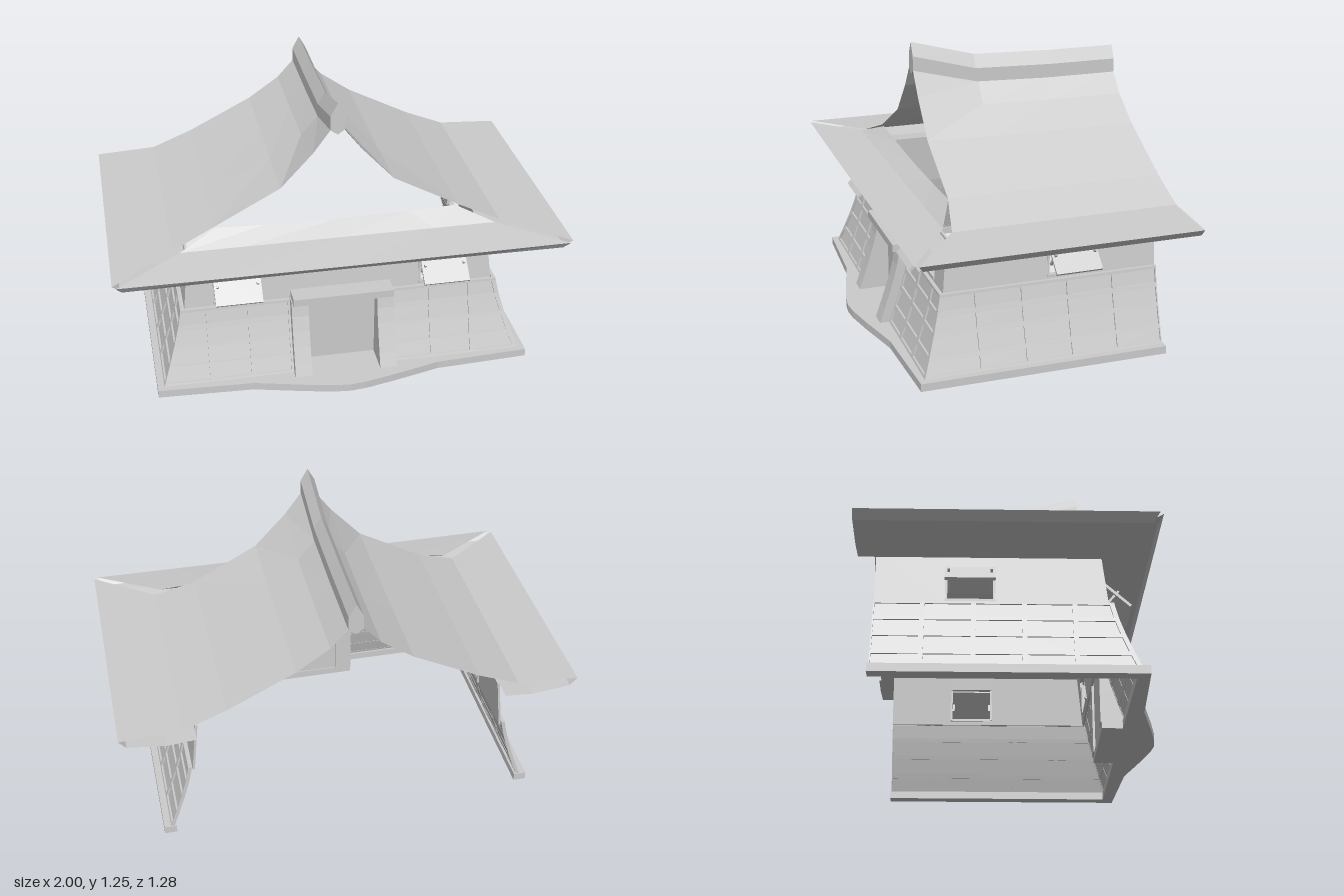
import * as THREE from 'three';
import { mergeGeometries } from 'three/addons/utils/BufferGeometryUtils.js';

const lerp = THREE.MathUtils.lerp;
const plaster = new THREE.MeshStandardMaterial({ color: 0xcccccc, flatShading: true, side: THREE.DoubleSide });
plaster.name = 'plainGrey';

function part(name, geometry, parent) {
  const mesh = new THREE.Mesh(geometry, plaster);
  mesh.name = name;
  parent.add(mesh);
  return mesh;
}

// Outward offset of the walls at each height
const flare = y => 0.095 * Math.pow(Math.max(0, (0.36 - y) / 0.325), 1.25);
const lean = y => -0.02 - (y - 0.36) * 0.1;

// Wall coordinates (u along, y up, out) to model space
const frontFace = profile => (u, y, out) => [u, y, 0.41 + profile(y) + out];
const sideFace = profile => (u, y, out) => [0.715 + profile(y) + out, y, -u];

// Box bent onto a wall; u limits may depend on height
function block(map, u0, u1, y0, y1, out0, out1, steps = 1) {
  const g = new THREE.BoxGeometry(1, 1, 1, 1, steps, 1);
  const p = g.attributes.position;
  const at = (v, y) => (typeof v === 'function' ? v(y) : v);
  for (let i = 0; i < p.count; i++) {
    const y = lerp(y0, y1, p.getY(i) + 0.5);
    const u = lerp(at(u0, y), at(u1, y), p.getX(i) + 0.5);
    p.setXYZ(i, ...map(u, y, lerp(out0, out1, p.getZ(i) + 0.5)));
  }
  g.computeVertexNormals();
  return g;
}

// Open surface through rows of points
function sheet(rows) {
  const n = rows[0].length, index = [];
  for (let i = 0; i < rows.length - 1; i++) {
    for (let j = 0; j < n - 1; j++) {
      const a = i * n + j, b = a + n;
      index.push(a, b, a + 1, b, b + 1, a + 1);
    }
  }
  const g = new THREE.BufferGeometry();
  g.setAttribute('position', new THREE.Float32BufferAttribute(rows.flat(2), 3));
  g.setIndex(index);
  g.computeVertexNormals();
  return g;
}

// Lattice of raised bars with set-back panels
const cellRows = [[0.045, 0.098], [0.117, 0.188], [0.206, 0.27], [0.288, 0.35]];
function lattice(map, start, end, columns) {
  const pieces = [];
  const barEdges = [0.03, ...cellRows.flat(), 0.362];
  for (let i = 0; i < barEdges.length; i += 2) {
    pieces.push(block(map, start, end, barEdges[i], barEdges[i + 1], -0.016, 0));
  }
  const uprights = [start, ...columns.flat(), end];
  for (const [y0, y1] of cellRows) {
    for (let i = 0; i < uprights.length; i += 2) {
      pieces.push(block(map, uprights[i], uprights[i + 1], y0, y1, -0.016, 0));
    }
    for (const [u0, u1] of columns) pieces.push(block(map, u0, u1, y0, y1, -0.014, -0.008));
  }
  return mergeGeometries(pieces);
}

// Upper wall with a window opening
function upperWall(map, start, end, w0, w1) {
  return mergeGeometries([
    block(map, start, w0, 0.35, 0.59, -0.01, 0),
    block(map, w1, end, 0.35, 0.59, -0.01, 0),
    block(map, w0, w1, 0.35, 0.37, -0.01, 0),
    block(map, w0, w1, 0.53, 0.59, -0.01, 0),
  ]);
}

// Propped shutter with two struts and a sill
function makeShutter() {
  const g = new THREE.Group();
  g.name = 'shutterWindow';
  const flap = part('shutter', new THREE.BoxGeometry(0.206, 0.156, 0.012), g);
  flap.position.set(0, 0.4725, 0.0525);
  flap.rotation.x = -0.83;
  for (const s of [-1, 1]) {
    const strut = part('strut', new THREE.BoxGeometry(0.01, 0.09, 0.01), g);
    strut.position.set(s * 0.088, 0.4575, 0.0325);
    strut.rotation.x = 0.7;
    part('windowJamb', new THREE.BoxGeometry(0.01, 0.16, 0.016), g).position.set(s * 0.098, 0.45, -0.008);
  }
  part('sill', new THREE.BoxGeometry(0.206, 0.012, 0.02), g).position.set(0, 0.374, 0);
  return g;
}

// Everything on the +x half
function makeHalf() {
  const half = new THREE.Group();
  half.name = 'houseHalf';
  const frontEnd = y => 0.715 + flare(y);
  const sideStart = y => -0.41 - flare(y);
  part('frontLatticeWall', lattice(frontFace(flare), 0.225, frontEnd,
    [[0.24, 0.4], [0.42, 0.585], [0.605, y => frontEnd(y) - 0.02]]), half);
  part('sideLatticeWall', lattice(sideFace(flare), sideStart, 0.565,
    [[y => sideStart(y) + 0.02, -0.26], [-0.24, -0.055], [-0.035, 0.15], [0.17, 0.357], [0.377, 0.56]]), half);
  part('frontUpperWall', upperWall(frontFace(lean), 0, y => 0.715 + lean(y), 0.36, 0.565), half);
  part('sideUpperWall', upperWall(sideFace(lean), y => -0.41 - lean(y), 0.565, 0.075, 0.275), half);

  const frontShutter = makeShutter();
  frontShutter.position.set(0.4625, 0, 0.385);
  const sideShutter = makeShutter();
  sideShutter.position.set(0.69, 0, -0.175);
  sideShutter.rotation.y = Math.PI / 2;
  half.add(frontShutter, sideShutter);

  // Flared door post
  const postMap = (u, y, o) => [u, y, lerp(0.385, 0.452 + flare(y), o)];
  part('doorPost', block(postMap, 0.155, 0.23, 0.03, 0.37, 0, 1, 5), half);

  // Side roof: x, y, lift at the front, front z; the last three run under the eave
  const profile = [
    [0.03, 1.05, 0.085, 0.32], [0.107, 0.965, 0.065, 0.32], [0.25, 0.865, 0.01, 0.32],
    [0.545, 0.715, 0, 0.32], [0.73, 0.64, 0, 0.36], [1, 0.625, 0, 0.575],
    [0.968, 0.59, 0, 0.55], [0.8, 0.57, 0, 0.44], [0.675, 0.58, 0, 0.36],
  ];
  part('sideRoof', sheet(profile.map(([x, y, lift, z]) => [
    [x, y + lift, z], [x, y + lift * 0.12, 0.02], [x, y, -0.3], [x, y, -0.64],
  ])), half);
  return half;
}

export function createModel() {
  const house = new THREE.Group();
  house.name = 'house';

  const left = makeHalf();
  const right = makeHalf();
  right.scale.x = -1;
  house.add(left, right);

  // Plinth around the walls with a bowed doorstep
  const edge = [[0.84, -0.57], [0.84, 0.53], [0.42, 0.55], [0.2, 0.605], [0.07, 0.633]];
  const inner = [[0.23, 0.39], [0.23, 0.48], [0.785, 0.48], [0.785, -0.57]];
  const mirror = list => list.map(([x, z]) => [-x, z]).reverse();
  const outline = [...edge, [0, 0.64], ...mirror(edge), ...mirror(inner), ...inner];
  const plinth = new THREE.ExtrudeGeometry(
    new THREE.Shape(outline.map(([x, z]) => new THREE.Vector2(x, z))), { depth: 0.035, bevelEnabled: false });
  plinth.rotateX(Math.PI / 2).translate(0, 0.035, 0);
  part('plinth', plinth, house);

  // Doorway
  part('door', new THREE.BoxGeometry(0.32, 0.34, 0.01), house).position.set(0, 0.2, 0.4);
  part('lintel', new THREE.BoxGeometry(0.45, 0.034, 0.09), house).position.set(0, 0.384, 0.435);

  // Front roof skirt: z, y, curl at the ends, half width
  const skirt = [
    [0.315, 0.695, 0.014, 0.535], [0.39, 0.645, 0, 0.7], [0.59, 0.62, 0.003, 0.985],
    [0.565, 0.592, -0.004, 0.96], [0.45, 0.583, -0.012, 0.81], [0.365, 0.585, -0.005, 0.68],
  ];
  part('frontRoof', sheet(skirt.map(([z, y, curl, w]) =>
    [-1, -0.6, 0, 0.6, 1].map(t => [t * w, y + curl * t * t, z]))), house);

  // Ridge beam that sweeps up at the front
  const section = [[0, 1.168], [-0.032, 1.11], [-0.032, 1.045], [0, 1.022], [0.032, 1.045], [0.032, 1.11]];
  const ridge = new THREE.ExtrudeGeometry(
    new THREE.Shape(section.map(([x, y]) => new THREE.Vector2(x, y))),
    { depth: 0.96, steps: 3, bevelEnabled: false });
  ridge.translate(0, 0, -0.64);
  const p = ridge.attributes.position;
  for (let i = 0; i < p.count; i++) {
    const z = p.getZ(i);
    if (z > 0.2) p.setY(i, p.getY(i) + 0.087);
    else if (z > -0.1) p.setXYZ(i, p.getX(i), p.getY(i) + 0.01, 0.03);
  }
  ridge.computeVertexNormals();
  part('ridgeBeam', ridge, house);

  return house;
}
